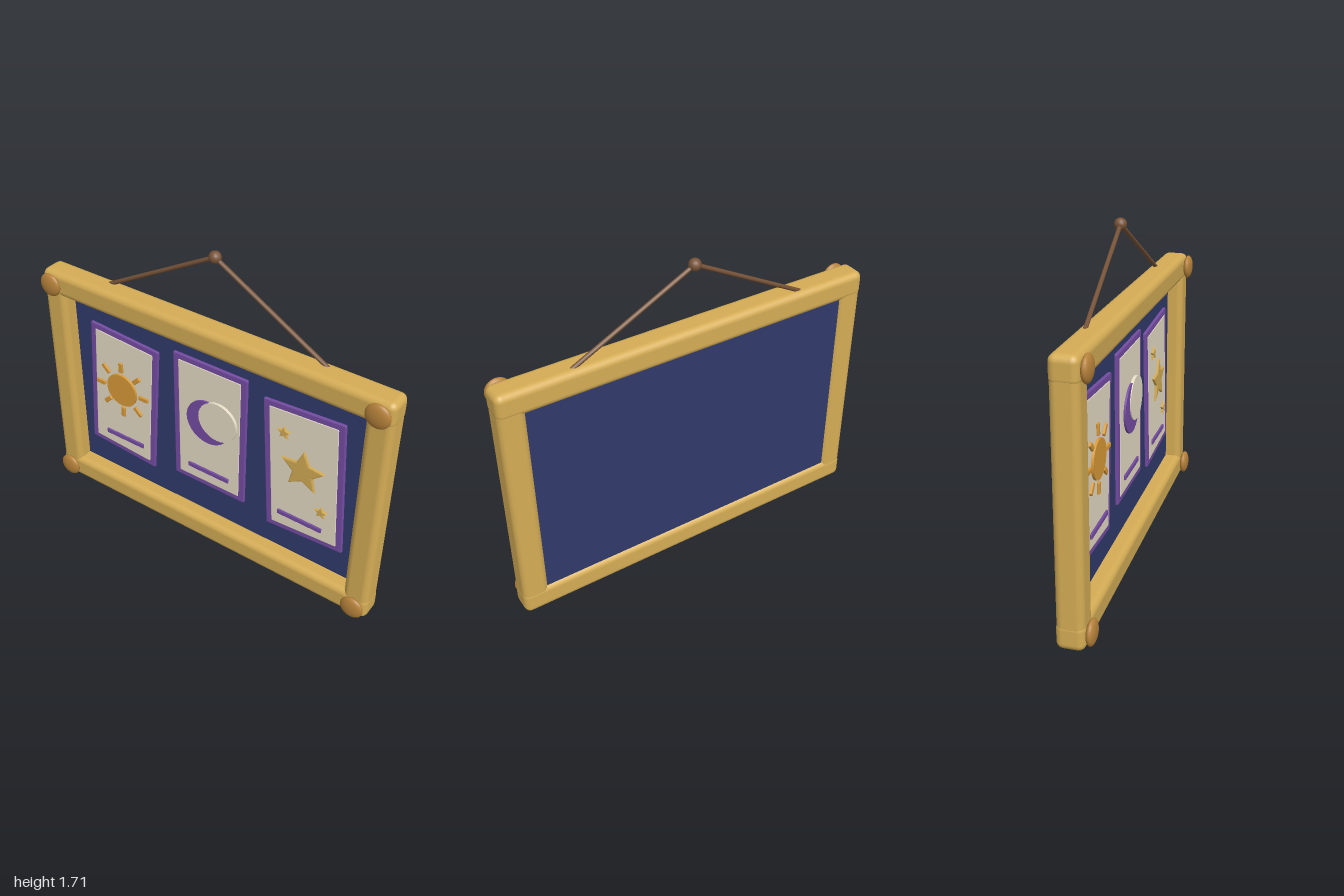
import * as THREE from 'three';
import { RoundedBoxGeometry } from 'three/addons/geometries/RoundedBoxGeometry.js';

const paint = (name, color) => {
  const m = new THREE.MeshStandardMaterial({ color });
  m.name = name;
  return m;
};

export function createModel() {
  const group = new THREE.Group();
  const gold = paint('gold', 0xd4ac55);
  const bronze = paint('bronze', 0xb5813a);
  const navy = paint('navy', 0x303a6b);
  const parchment = paint('parchment', 0xe6dcc6);
  const purple = paint('purple', 0x754ca3);
  const orange = paint('orange', 0xd99a38);
  const brown = paint('brown', 0x775338);

  const add = (name, geometry, material, x, y, z, parent = group) => {
    const mesh = new THREE.Mesh(geometry, material);
    mesh.name = name;
    mesh.position.set(x, y, z);
    parent.add(mesh);
    return mesh;
  };
  const rounded = (w, h, d, r, seg = 1) => new RoundedBoxGeometry(w, h, d, seg, r);
  const disc = (r, d, sides) => new THREE.CylinderGeometry(r, r, d, sides).rotateX(Math.PI / 2);

  // Frame rails, backing board and corner studs
  for (const y of [0.068, 1.282]) add('horizontalRail', rounded(2, 0.136, 0.136, 0.035, 3), gold, 0, y, -0.013);
  for (const s of [-1, 1]) {
    add('verticalRail', rounded(0.135, 1.342, 0.132, 0.035, 3), gold, s * 0.931, 0.675, -0.013);
    for (const y of [0.073, 1.283]) {
      add('cornerStud', new THREE.SphereGeometry(0.063, 20, 14).scale(1, 1, 0.38), bronze, s * 0.93, y, 0.07);
    }
  }
  add('backBoard', rounded(1.8, 1.15, 0.035, 0.006), navy, 0, 0.677, -0.0475);

  // Three cards, the outer two tilted inwards
  const cards = [
    { x: -0.56, y: 0.68, tilt: -0.065 },
    { x: 0, y: 0.717, tilt: 0 },
    { x: 0.557, y: 0.68, tilt: 0.065 },
  ];
  for (const { x, y, tilt } of cards) {
    const card = new THREE.Group();
    card.name = 'card';
    card.position.set(x, y, 0);
    card.rotation.z = tilt;
    group.add(card);
    add('cardBorder', rounded(0.44, 0.785, 0.02, 0.006), purple, 0, 0, -0.025, card);
    add('cardFace', rounded(0.376, 0.725, 0.012, 0.006), parchment, 0, 0, -0.018, card);
    add('cardBar', rounded(0.255, 0.028, 0.012, 0.005), purple, x, y - 0.283, -0.008);
  }

  // Sun with eight rays
  const sun = new THREE.Group();
  sun.name = 'sun';
  sun.position.set(-0.56, 0.727, -0.007);
  group.add(sun);
  add('sunDisc', disc(0.098, 0.016, 24), orange, 0, 0, 0, sun);
  for (let i = 0; i < 8; i++) {
    const a = (i * Math.PI) / 4;
    const ray = add('sunRay', rounded(0.06, 0.025, 0.014, 0.004), orange, 0.144 * Math.cos(a), 0.144 * Math.sin(a), 0, sun);
    ray.rotation.z = a;
  }

  // Crescent moon: a purple disc partly covered by a pale one
  add('moonDisc', disc(0.13, 0.014, 28), purple, 0, 0.765, -0.008);
  add('moonCover', disc(0.114, 0.016, 28), parchment, 0.061, 0.797, -0.004);

  // Stars
  const star = (x, y, r) => {
    const b = r * 0.06;
    const points = [];
    for (let i = 0; i < 10; i++) {
      const a = Math.PI / 2 + (i * Math.PI) / 5;
      const d = (i % 2 ? 0.44 : 1) * (r - b);
      points.push(new THREE.Vector2(d * Math.cos(a), d * Math.sin(a)));
    }
    const geometry = new THREE.ExtrudeGeometry(new THREE.Shape(points), {
      depth: 0.01, bevelEnabled: true, bevelThickness: 0.003, bevelSize: b, bevelSegments: 1,
    });
    add('star', geometry, gold, x, y, -0.012);
  };
  star(0.557, 0.725, 0.122);
  star(0.441, 0.912, 0.036);
  star(0.674, 0.517, 0.036);

  // Hanging cord and its knot
  const top = new THREE.Vector3(0, 1.68, -0.06);
  for (const s of [-1, 1]) {
    const path = new THREE.LineCurve3(new THREE.Vector3(s * 0.635, 1.335, -0.04), top);
    add('hangingCord', new THREE.TubeGeometry(path, 1, 0.011, 8), brown, 0, 0, 0);
  }
  add('cordKnot', new THREE.SphereGeometry(0.031, 14, 10), brown, 0, 1.68, -0.06);
  return group;
}
